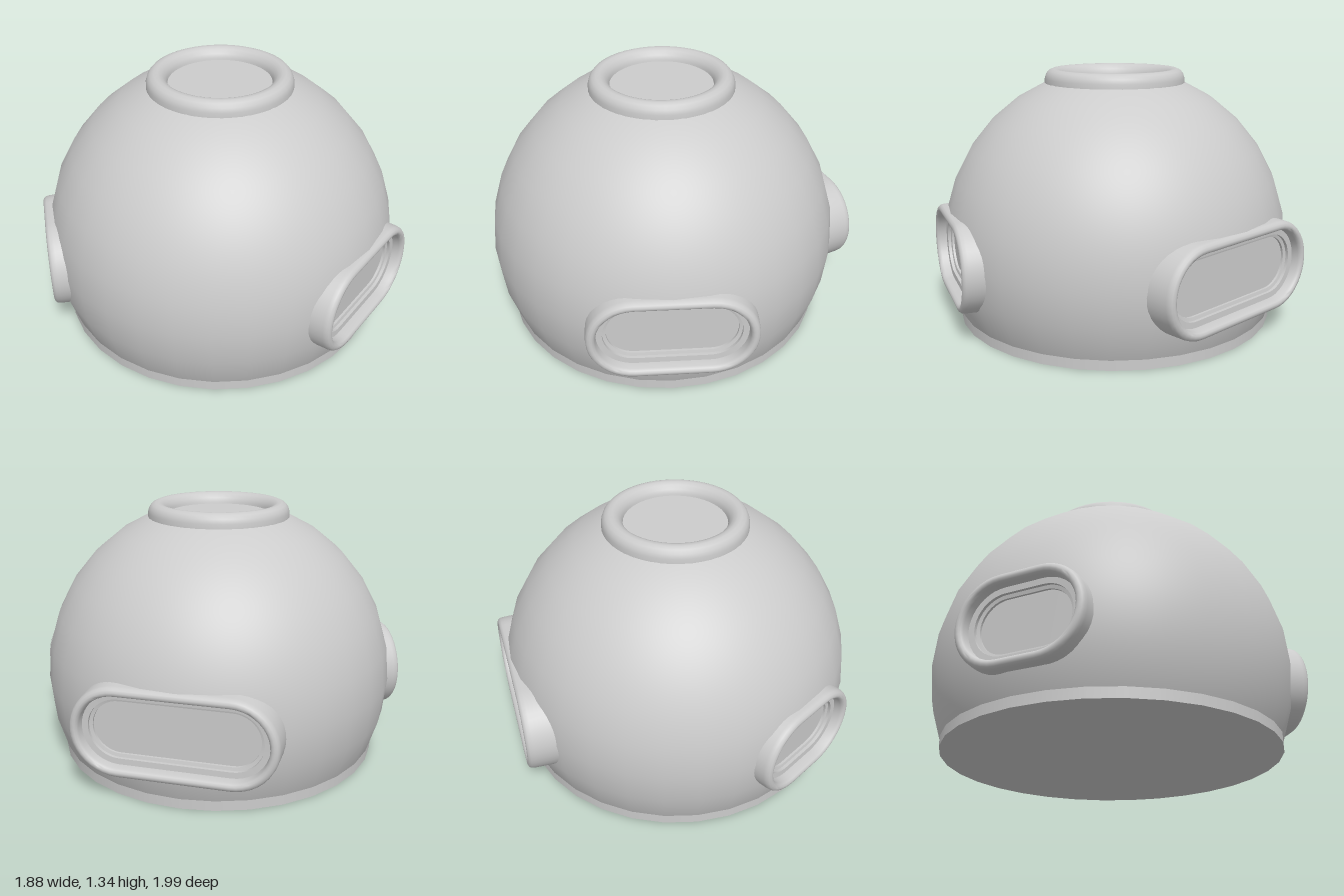
import * as THREE from 'three';
import { toCreasedNormals } from 'three/addons/utils/BufferGeometryUtils.js';

const R = 0.94, DOME_Y = 0.412, CENTRE_Z = 0.045, WINDOW_Y = 0.39;
const RIM = 0.235; // outer half height of a window rim
const SIDES = 32, SUB = 10;

// outward direction in plan, distance of the rim face, half length
const WINDOWS = [
  { name: 'sideWindow', angle: Math.PI / 2, face: 0.94, half: 0.42 },
  { name: 'frontWindow', angle: Math.atan2(-0.653, 0.757), face: 0.957, half: 0.335 },
  { name: 'backWindow', angle: Math.atan2(-0.361, -0.933), face: 0.932, half: 0.512 },
];

const material = new THREE.MeshStandardMaterial({ color: 0xcccccc, side: THREE.DoubleSide });

function mesh(name, geometry) {
  const m = new THREE.Mesh(geometry, material);
  m.name = name;
  return m;
}

function build(positions, index, normals) {
  const g = new THREE.BufferGeometry();
  g.setAttribute('position', new THREE.Float32BufferAttribute(positions, 3));
  if (normals) g.setAttribute('normal', new THREE.Float32BufferAttribute(normals, 3));
  g.setIndex(index);
  return g;
}

// Is a dome point (relative to the dome centre) inside a window opening?
function inWindow(p) {
  return WINDOWS.some(({ angle, half }) => {
    const s = Math.sin(angle), c = Math.cos(angle);
    if (p.x * s + p.z * c < 0) return false;
    const along = Math.abs(p.x * c - p.z * s);
    const up = p.y + DOME_Y - WINDOW_Y;
    return Math.hypot(Math.max(0, along - (half - RIM)), up) < 0.212;
  });
}

// Faceted-outline, smooth-shaded dome; each facet is subdivided so the windows can be cut
function domeGeometry() {
  const step = Math.PI * 2 / SIDES, rows = 8;
  const corner = (i, j) => {
    const e = (j - 2) * step, a = i * step;
    return new THREE.Vector3(
      R * Math.cos(e) * Math.sin(a), R * Math.sin(e), R * Math.cos(e) * Math.cos(a));
  };
  const point = (u, v) => {
    const i = Math.min(Math.floor(u / SUB), SIDES - 1), j = Math.min(Math.floor(v / SUB), rows - 1);
    const s = u / SUB - i, t = v / SUB - j;
    return corner(i, j).lerp(corner(i + 1, j), s)
      .lerp(corner(i, j + 1).lerp(corner(i + 1, j + 1), s), t);
  };
  const positions = [], normals = [], index = [];
  const w = SIDES * SUB, h = rows * SUB;
  for (let v = 0; v <= h; v++) {
    for (let u = 0; u <= w; u++) {
      const p = point(u, v);
      positions.push(p.x, p.y, p.z);
      p.normalize();
      normals.push(p.x, p.y, p.z);
      if (u === w || v === h || inWindow(point(u + 0.5, v + 0.5))) continue;
      const a = v * (w + 1) + u, d = a + w + 1;
      index.push(a, a + 1, d + 1, a, d + 1, d);
    }
  }
  return build(positions, index, normals);
}

// Sweep a [radius, depth] profile around a stadium of straight half length L
function stadiumSweep(profile, L) {
  const n = 20, count = 2 * (n + 1), k = profile.length;
  const positions = [], index = [];
  for (let i = 0; i < count; i++) {
    const left = i > n;
    const a = -Math.PI / 2 + (left ? i - 1 : i) / n * Math.PI;
    for (const [r, z] of profile) {
      positions.push((left ? -L : L) + r * Math.cos(a), r * Math.sin(a), z);
    }
    for (let j = 0; j < k - 1; j++) {
      const p = i * k + j, q = ((i + 1) % count) * k + j;
      index.push(p, p + 1, q + 1, p, q + 1, q);
    }
  }
  return toCreasedNormals(build(positions, index), 0.8);
}

function createWindow({ name, angle, face, half }) {
  const group = new THREE.Group();
  group.name = name;
  const L = half - RIM;

  // rounded outer rim, running back into the dome
  group.add(mesh('windowRim', stadiumSweep([
    [0.185, -0.058], [0.187, -0.02], [0.192, -0.007], [0.202, 0], [0.212, 0],
    [0.224, -0.005], [0.232, -0.016], [0.235, -0.035], [0.24, -0.2],
  ], L)));

  // stepped inner frame
  group.add(mesh('innerFrame', stadiumSweep([
    [0.138, -0.092], [0.138, -0.078], [0.155, -0.074], [0.155, -0.058], [0.187, -0.056],
  ], L)));

  // recessed pane
  const r = 0.14, outline = new THREE.Shape();
  outline.absarc(L, 0, r, -Math.PI / 2, Math.PI / 2, false);
  outline.absarc(-L, 0, r, Math.PI / 2, Math.PI * 1.5, false);
  const pane = mesh('pane', new THREE.ShapeGeometry(outline, 20));
  pane.position.z = -0.09;
  group.add(pane);

  group.rotation.y = angle;
  group.position.set(face * Math.sin(angle), WINDOW_Y, CENTRE_Z + face * Math.cos(angle));
  return group;
}

export function createModel() {
  const model = new THREE.Group();
  model.name = 'domeShelter';

  const dome = mesh('dome', domeGeometry());
  dome.position.set(0, DOME_Y, CENTRE_Z);
  model.add(dome);

  // short upright base with a closed floor
  const baseR = R * Math.cos(Math.PI / 8), baseH = DOME_Y - R * Math.sin(Math.PI / 8);
  const base = mesh('baseWall', new THREE.CylinderGeometry(baseR, baseR, baseH, SIDES, 1, true));
  base.position.set(0, baseH / 2, CENTRE_Z);
  const floor = mesh('floor', new THREE.CircleGeometry(baseR, SIDES));
  floor.rotation.set(Math.PI / 2, 0, 0);
  floor.position.z = CENTRE_Z;
  model.add(base, floor);

  // roof hatch: rounded ring and flat skylight
  const ringProfile = [
    [0.377, 1.262], [0.376, 1.295], [0.369, 1.318], [0.355, 1.335], [0.335, 1.344],
    [0.315, 1.344], [0.294, 1.335], [0.277, 1.316], [0.268, 1.295], [0.265, 1.27],
  ].map(([x, y]) => new THREE.Vector2(x, y));
  const ring = mesh('roofRing', new THREE.LatheGeometry(ringProfile, 48));
  ring.position.z = CENTRE_Z;
  const skylight = mesh('skylight', new THREE.CircleGeometry(0.27, 48));
  skylight.rotation.x = -Math.PI / 2;
  skylight.position.set(0, 1.285, CENTRE_Z);
  model.add(ring, skylight);

  WINDOWS.forEach((w) => model.add(createWindow(w)));
  return model;
}
